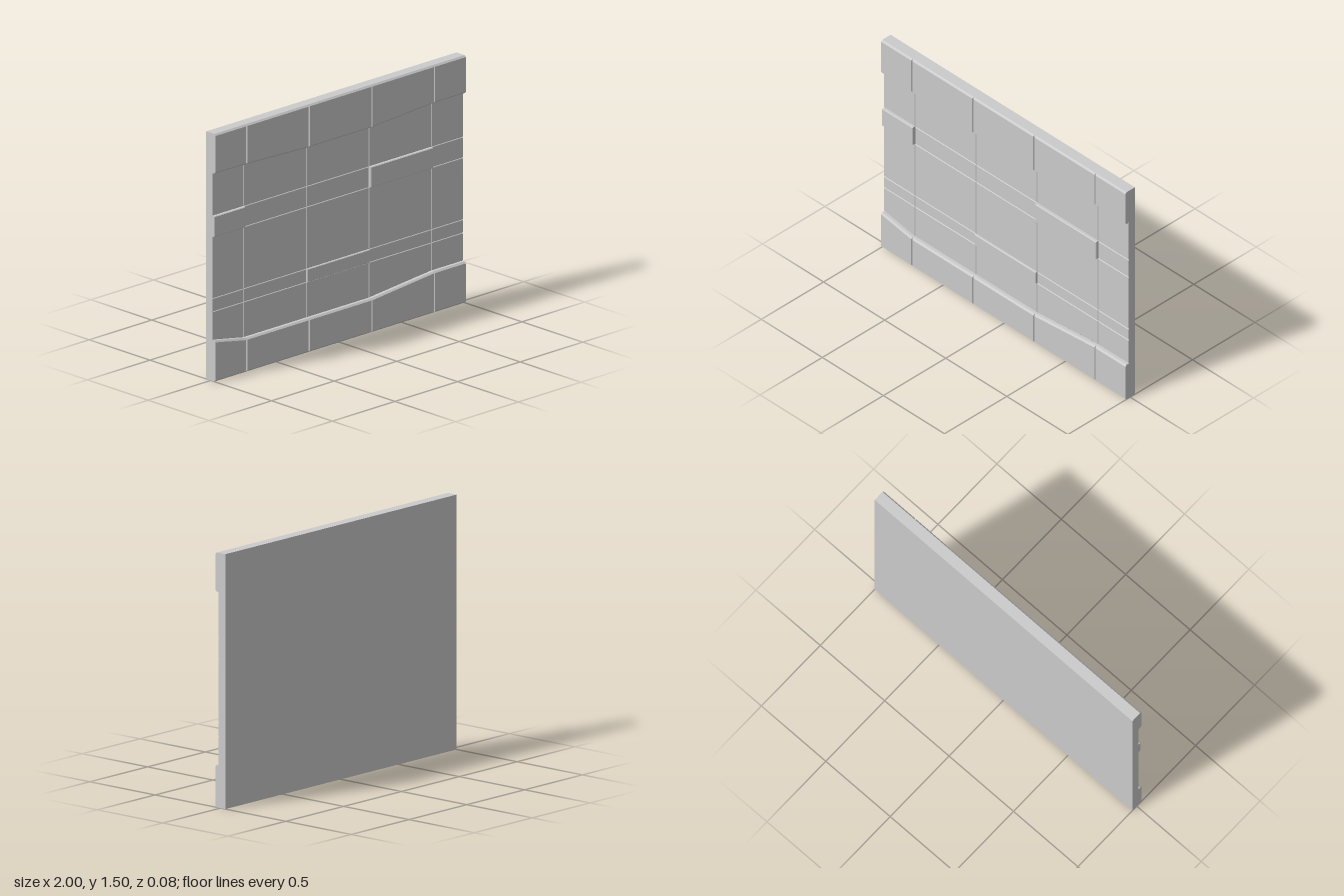
import * as THREE from 'three';
import { ConvexGeometry } from 'three/addons/geometries/ConvexGeometry.js';

const BACK = -0.0375;   // rear of the slab
const BASE = 0.008;     // front of the slab, hidden behind the blocks
const WALL = 0.0135;    // face of the plain wall blocks
const BAND = 0.0385;    // face of the top and bottom courses

const material = new THREE.MeshStandardMaterial({ color: 0xcccccc, flatShading: true });

// Column seams and the uneven inner edges of the two thick courses
const seams = [-1, -0.75, -0.25, 0.25, 0.75, 1];
const lowEdge = [0.25, 0.205, 0.205, 0.205, 0.25, 0.25];
const highEdge = [1.26, 1.257, 1.24, 1.24, 1.27, 1.27];
const flat = (y) => seams.map(() => y);

// Block between two height lines in column i, with a chamfered front face;
// the outer ends of the wall stay square
function block(i, low, high, face, c) {
  const x0 = seams[i], x1 = seams[i + 1];
  const cx0 = i === 0 ? 0 : Math.min(c, 0.005);
  const cx1 = i === seams.length - 2 ? 0 : Math.min(c, 0.005);
  const ring = (z, k) => [
    [x0 + cx0 * k, low[i] + c * k], [x1 - cx1 * k, low[i + 1] + c * k],
    [x1 - cx1 * k, high[i + 1] - c * k], [x0 + cx0 * k, high[i] - c * k],
  ].map(([x, y]) => new THREE.Vector3(x, y, z));
  const points = [...ring(BASE - 0.004, 0), ...ring(face - c, 0), ...ring(face, 1)];
  return new THREE.Mesh(new ConvexGeometry(points), material);
}

export function createModel() {
  const wall = new THREE.Group();
  wall.name = 'wallPanel';

  // Backing slab
  const slab = new THREE.Mesh(new THREE.BoxGeometry(2, 1.5, BASE - BACK), material);
  slab.position.set(0, 0.75, (BASE + BACK) / 2);
  slab.name = 'backingSlab';
  wall.add(slab);

  // Horizontal courses from the ground up
  const lines = [flat(0), lowEdge, flat(0.42), flat(0.5), flat(0.875), flat(1), highEdge, flat(1.5)];
  const names = ['bottomCourse', 'lowerWall', 'lowerBrickRow', 'middleWall', 'upperBrickRow', 'upperWall', 'topCourse'];
  // Faces of the raised bricks, by course and column
  const raised = { 2: { 2: 0.023 }, 4: { 0: 0.03, 3: 0.03 } };

  names.forEach((name, row) => {
    const course = new THREE.Group();
    course.name = name;
    const thick = row === 0 || row === names.length - 1;
    for (let i = 0; i < seams.length - 1; i++) {
      const brick = raised[row]?.[i];
      const face = thick ? BAND : brick ?? WALL;
      const mesh = block(i, lines[row], lines[row + 1], face, thick ? 0.01 : 0.004);
      mesh.name = thick ? 'courseBlock' : brick ? 'raisedBrick' : 'wallBlock';
      course.add(mesh);
    }
    wall.add(course);
  });
  return wall;
}
